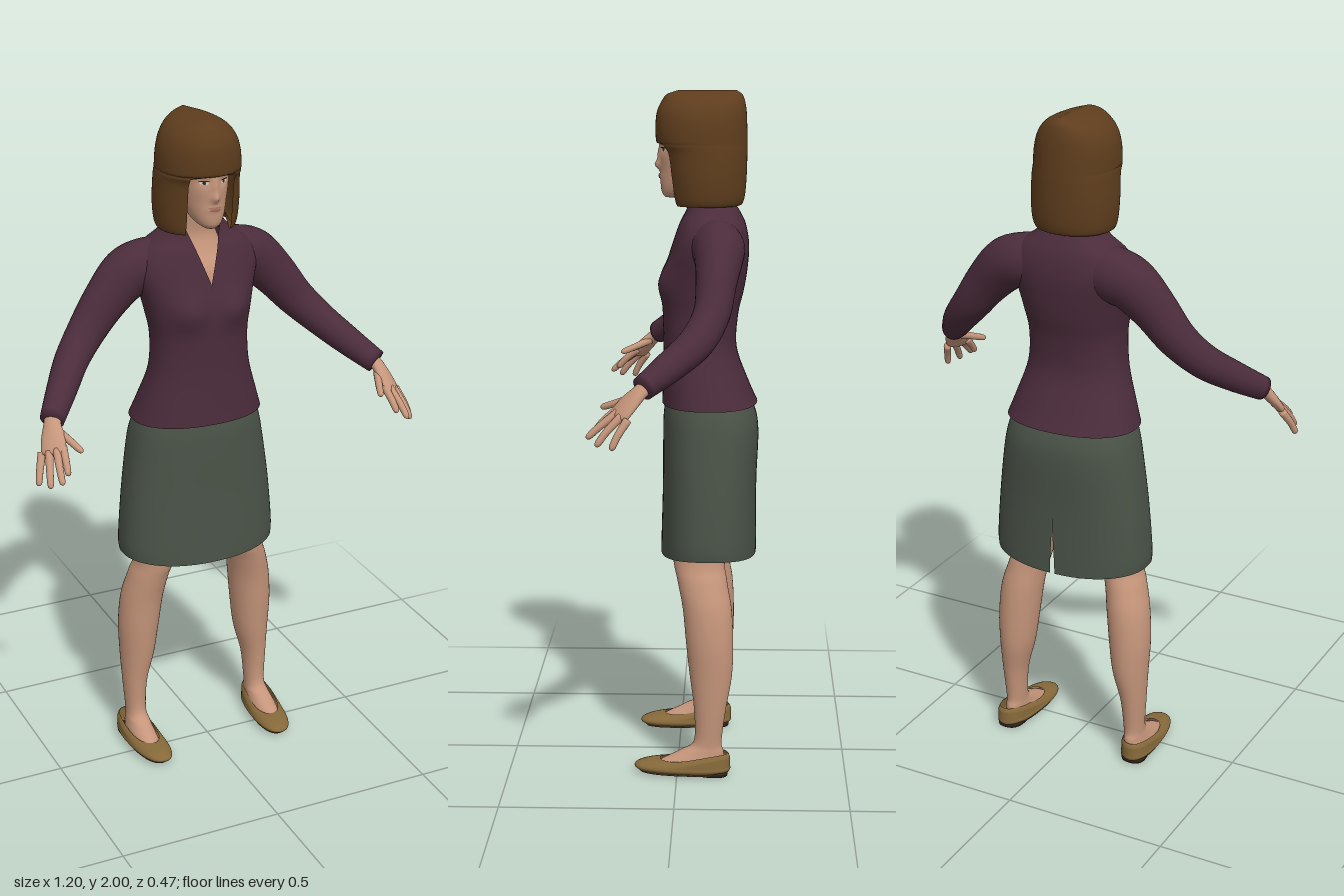
import * as THREE from 'three';

const mat = (name, color, side = THREE.FrontSide) => {
  const m = new THREE.MeshStandardMaterial({ color, side });
  m.name = name;
  return m;
};

// Catmull-Rom interpolation of every column of a section table
function smooth(rows, steps) {
  const out = [], last = rows.length - 1;
  for (let k = 0; k < last; k++) {
    const p = [rows[Math.max(k - 1, 0)], rows[k], rows[k + 1], rows[Math.min(k + 2, last)]];
    for (let s = 0; s < steps; s++) {
      const t = s / steps;
      out.push(p[1].map((b, c) => {
        const a = p[0][c], d = p[2][c], e = p[3][c];
        return b + 0.5 * t * (d - a + t * (2 * a - 5 * b + 4 * d - e + t * (3 * (b - d) + e - a)));
      }));
    }
  }
  out.push(rows[last]);
  return out;
}

// Skins rings of points, optionally closed round and capped at either end
function surface(rings, closed, caps) {
  const pos = [], idx = [], n = rings[0].length, m = closed ? n : n - 1;
  rings.forEach(r => r.forEach(p => pos.push(p.x, p.y, p.z)));
  for (let j = 0; j < rings.length - 1; j++) for (let i = 0; i < m; i++) {
    const a = j * n + i, b = j * n + (i + 1) % n;
    idx.push(a, b, b + n, a, b + n, a + n);
  }
  [0, rings.length - 1].forEach((j, k) => {
    if (!caps[k]) return;
    const c = new THREE.Vector3();
    rings[j].forEach(p => c.addScaledVector(p, 1 / n));
    const ci = pos.length / 3;
    pos.push(c.x, c.y, c.z);
    for (let i = 0; i < m; i++) {
      const a = j * n + i, b = j * n + (i + 1) % n;
      idx.push(ci, k ? a : b, k ? b : a);
    }
  });
  const g = new THREE.BufferGeometry();
  g.setAttribute('position', new THREE.Float32BufferAttribute(pos, 3));
  g.setIndex(idx);
  g.computeVertexNormals();
  // blend normals where an open ring meets itself
  if (!closed) rings.forEach((r, j) => {
    if (r[0].distanceTo(r[n - 1]) > 1e-5) return;
    const nm = g.attributes.normal, a = j * n, b = a + n - 1;
    const v = new THREE.Vector3().fromBufferAttribute(nm, a).add(new THREE.Vector3().fromBufferAttribute(nm, b)).normalize();
    [a, b].forEach(i => nm.setXYZ(i, v.x, v.y, v.z));
  });
  return g;
}

// Upright loft; rows are [y, centre x, half width, front z, back z]
function loft(rows, { e = 1, n = 40, steps = 5, gap, at = 0, caps = [false, false], warp } = {}) {
  const pw = v => Math.sign(v) * Math.abs(v) ** e;
  const rings = smooth(rows, steps).map(([y, cx, rx, zf, zb]) => {
    const g = gap ? Math.asin(Math.min(0.99, gap(y) / rx) ** (1 / e)) : 0;
    const mid = (zf + zb) / 2, R = (zf - zb) / 2, ring = [];
    for (let i = 0; i < n; i++) {
      const a = at + g + (i / (gap ? n - 1 : n)) * (2 * Math.PI - 2 * g);
      const p = new THREE.Vector3(cx + rx * pw(Math.sin(a)), y, mid + R * pw(Math.cos(a)));
      if (warp) warp(p, mid);
      ring.push(p);
    }
    return ring;
  });
  return surface(rings, !gap, caps);
}

// Limb along a path; rows are [x, y, z, radius along w, radius across]
function limb(rows, w, n = 20, steps = 5) {
  const s = smooth(rows, steps), P = s.map(r => new THREE.Vector3(r[0], r[1], r[2]));
  const rings = s.map((r, j) => {
    const T = P[Math.min(j + 1, P.length - 1)].clone().sub(P[Math.max(j - 1, 0)]).normalize();
    const N = new THREE.Vector3().crossVectors(w, T).normalize(), W = new THREE.Vector3().crossVectors(T, N);
    return Array.from({ length: n }, (_, i) => {
      const a = (i / n) * 2 * Math.PI;
      return P[j].clone().addScaledVector(W, r[3] * Math.sin(a)).addScaledVector(N, r[4] * Math.cos(a));
    });
  });
  return surface(rings, true, [true, true]);
}

function mirrored(geo) {
  const g = geo.clone().scale(-1, 1, 1), ix = g.index.array;
  for (let i = 0; i < ix.length; i += 3) [ix[i], ix[i + 1]] = [ix[i + 1], ix[i]];
  g.computeVertexNormals();
  return g;
}

// Face relief and head sections
const bell = (x, y, cx, cy, w, h) => Math.exp(-(((x - cx) / w) ** 2) - ((y - cy) / h) ** 2);
const relief = (x, y) => 0.015 * bell(x, y, 0, 1.785, 0.012, 0.014) + 0.007 * bell(x, y, 0, 1.815, 0.009, 0.025)
  - 0.006 * bell(Math.abs(x), y, 0.03, 1.832, 0.016, 0.012) + 0.004 * bell(x, y, 0, 1.753, 0.02, 0.009);
const headRows = [[1.692, 0, 0.018, 0.04, 0], [1.705, 0, 0.036, 0.05, -0.04], [1.73, 0, 0.052, 0.054, -0.09],
  [1.77, 0, 0.065, 0.054, -0.13], [1.82, 0, 0.074, 0.056, -0.15], [1.88, 0, 0.075, 0.052, -0.16], [1.95, 0, 0.05, 0.02, -0.13]];

// Thin plate following the face
function facePlate(cx, cy, w, h, lift) {
  const g = new THREE.RingGeometry(0.01, 1, 20, 3), p = g.attributes.position, rows = smooth(headRows, 20);
  for (let i = 0; i < p.count; i++) {
    const x = cx + p.getX(i) * w, y = cy + p.getY(i) * h;
    const r = rows.reduce((a, b) => (Math.abs(b[0] - y) < Math.abs(a[0] - y) ? b : a));
    const mid = (r[3] + r[4]) / 2;
    p.setXYZ(i, x, y, mid + (r[3] - mid) * Math.sqrt(1 - (x / r[2]) ** 2) + relief(x, y) + lift);
  }
  g.computeVertexNormals();
  return g;
}

export function createModel() {
  const model = new THREE.Group();
  const D = THREE.DoubleSide;
  const skin = mat('skin', 0xc6967b), hair = mat('hair', 0x5e3d1d, D), jacket = mat('jacket', 0x4b2c3b, D);
  const skirt = mat('skirt', 0x4a5348, D), shoe = mat('shoe', 0x86693a, D), sole = mat('sole', 0x6b4a3c);
  const dark = mat('dark', 0x33261c), lip = mat('lip', 0xa8705e), white = mat('eyeWhite', 0xd8cfc6);
  const add = (name, geo, m) => {
    const mesh = new THREE.Mesh(geo, m);
    mesh.name = name;
    model.add(mesh);
  };
  const pair = (name, geo, m) => {
    add(name + 'Left', geo, m);
    add(name + 'Right', mirrored(geo), m);
  };

  // Head, neck and upper chest
  add('head', loft(headRows, { n: 96, steps: 8, caps: [true, true],
    warp: (p, mid) => { if (p.z > mid) p.z += relief(p.x, p.y); } }), skin);
  add('neckAndChest', loft([[1.45, 0, 0.1, 0.025, -0.1], [1.55, 0, 0.1, 0.008, -0.1], [1.6, 0, 0.08, -0.018, -0.12],
    [1.65, 0, 0.062, -0.035, -0.135], [1.7, 0, 0.052, -0.03, -0.13], [1.76, 0, 0.05, -0.02, -0.13]]), skin);

  // Facial features
  pair('eye', facePlate(0.03, 1.83, 0.012, 0.005, 0.002), white);
  pair('iris', facePlate(0.03, 1.83, 0.0048, 0.0048, 0.003), dark);
  pair('lashes', facePlate(0.031, 1.8355, 0.014, 0.002, 0.0035), dark);
  add('upperLip', facePlate(0, 1.757, 0.02, 0.0035, 0.002), lip);
  add('lowerLip', facePlate(0, 1.75, 0.017, 0.004, 0.002), lip);

  // Bobbed hair with a straight fringe
  add('hair', loft([[1.7, 0, 0.085, 0, -0.13], [1.67, 0, 0.108, 0.02, -0.175], [1.69, 0, 0.121, 0.028, -0.19],
    [1.75, 0, 0.126, 0.036, -0.196], [1.82, 0, 0.123, 0.048, -0.198], [1.85, 0, 0.121, 0.066, -0.198],
    [1.9, 0, 0.117, 0.069, -0.197], [1.94, 0, 0.105, 0.064, -0.195], [1.97, 0, 0.083, 0.05, -0.19],
    [1.988, 0, 0.052, 0.035, -0.182], [2, 0, 0.006, 0, -0.165]],
  { n: 65, steps: 6, e: 0.95, gap: y => (y < 1.85 ? 0.07 : 0), caps: [false, true] }), hair);

  // Jacket body with a V neckline
  add('jacketBody', loft([[1.09, 0, 0.203, 0.05, -0.232], [1.15, 0, 0.183, 0.048, -0.205], [1.25, 0, 0.153, 0.046, -0.17],
    [1.35, 0, 0.147, 0.048, -0.174], [1.42, 0, 0.158, 0.049, -0.19], [1.48, 0, 0.172, 0.042, -0.2],
    [1.55, 0, 0.19, 0.022, -0.205], [1.61, 0, 0.17, 0.002, -0.196], [1.65, 0, 0.115, -0.015, -0.178],
    [1.685, 0, 0.082, -0.022, -0.155]],
  { n: 65, e: 0.88, gap: y => Math.max(0, (y - 1.52) * 0.34),
    warp: (p, mid) => { if (p.z > mid) p.z += 0.02 * bell(Math.abs(p.x), p.y, 0.075, 1.445, 0.05, 0.05); } }), jacket);

  // Sleeves
  pair('sleeve', limb([[0.09, 1.56, -0.105, 0.08, 0.075], [0.15, 1.555, -0.115, 0.08, 0.078], [0.205, 1.535, -0.118, 0.078, 0.07],
    [0.27, 1.472, -0.112, 0.068, 0.058], [0.335, 1.393, -0.1, 0.058, 0.052], [0.4, 1.325, -0.06, 0.05, 0.05],
    [0.46, 1.268, 0.01, 0.044, 0.044], [0.52, 1.215, 0.085, 0.036, 0.034]], new THREE.Vector3(0.7, 0.7, 0), 28), jacket);

  // Hands
  const across = new THREE.Vector3(0.052, -0.02, -0.03);
  pair('palm', limb([[0.508, 1.228, 0.066, 0.024, 0.019], [0.522, 1.205, 0.092, 0.026, 0.018],
    [0.532, 1.175, 0.122, 0.036, 0.016], [0.541, 1.145, 0.147, 0.037, 0.013], [0.544, 1.138, 0.153, 0.028, 0.007]], across), skin);
  const digits = {
    thumb: [[0.512, 1.19, 0.108], [0.492, 1.172, 0.155], [0.475, 1.155, 0.2]],
    indexFinger: [[0.514, 1.16, 0.15], [0.52, 1.128, 0.188], [0.524, 1.098, 0.215]],
    middleFinger: [[0.533, 1.153, 0.15], [0.543, 1.118, 0.196], [0.549, 1.083, 0.235]],
    ringFinger: [[0.552, 1.145, 0.14], [0.566, 1.104, 0.18], [0.575, 1.066, 0.208]],
    littleFinger: [[0.567, 1.138, 0.122], [0.584, 1.098, 0.148], [0.595, 1.06, 0.166]],
  };
  for (const [name, [a, b, c]] of Object.entries(digits)) {
    const near = b.map((v, i) => v + (c[i] - v) * 0.8);
    pair(name, limb([[...a, 0.012, 0.012], [...b, 0.0105, 0.0105], [...near, 0.009, 0.009], [...c, 0.003, 0.003]], across, 12, 4), skin);
  }

  // Skirt with a slit at the back and a dipped hem
  add('skirt', loft([[0.655, 0, 0.243, 0.053, -0.231], [0.7, 0, 0.245, 0.052, -0.231], [0.85, 0, 0.232, 0.048, -0.231],
    [1, 0, 0.211, 0.047, -0.236], [1.07, 0, 0.196, 0.044, -0.224], [1.14, 0, 0.17, 0.03, -0.19]],
  { n: 65, e: 0.85, at: Math.PI, gap: y => Math.max(0, (0.79 - y) * 0.06),
    warp: p => { if (p.y < 0.7) p.y -= 0.018 * (1 - (p.x / 0.25) ** 2) * (0.7 - p.y) / 0.045; } }), skirt);

  // Legs and feet
  pair('leg', loft([[0.02, 0.209, 0.042, 0.08, -0.14], [0.045, 0.21, 0.038, 0.04, -0.14], [0.07, 0.209, 0.033, -0.01, -0.138],
    [0.1, 0.208, 0.031, -0.05, -0.132], [0.2, 0.207, 0.038, -0.05, -0.145], [0.3, 0.197, 0.053, -0.037, -0.162],
    [0.4, 0.192, 0.062, -0.026, -0.165], [0.5, 0.182, 0.064, -0.016, -0.16], [0.58, 0.165, 0.06, 0, -0.146],
    [0.66, 0.143, 0.059, 0.015, -0.14], [0.9, 0.11, 0.08, 0.03, -0.17]], { caps: [true, true] }), skin);

  // Flat shoes: upper with raised heel rim, sole and low heel
  const toeIn = p => {
    p.x -= 0.07 * p.z;
    if (p.y > 0.03) p.y += 0.024 * THREE.MathUtils.smoothstep(-p.z, -0.03, 0.14);
  };
  pair('shoeUpper', loft([[0.008, 0.21, 0.046, 0.112, -0.15], [0.018, 0.21, 0.054, 0.126, -0.158], [0.028, 0.21, 0.053, 0.122, -0.158],
    [0.038, 0.21, 0.047, 0.095, -0.155], [0.044, 0.21, 0.041, 0.05, -0.15]], { e: 0.85, warp: toeIn }), shoe);
  pair('sole', loft([[0.004, 0.21, 0.045, 0.11, -0.148], [0.012, 0.21, 0.049, 0.116, -0.152]],
    { e: 0.85, steps: 1, caps: [true, true], warp: toeIn }), sole);
  pair('heel', loft([[0, 0.21, 0.038, -0.06, -0.15], [0.014, 0.21, 0.04, -0.058, -0.152]],
    { e: 0.8, steps: 1, caps: [true, true], warp: toeIn }), dark);

  return model;
}
